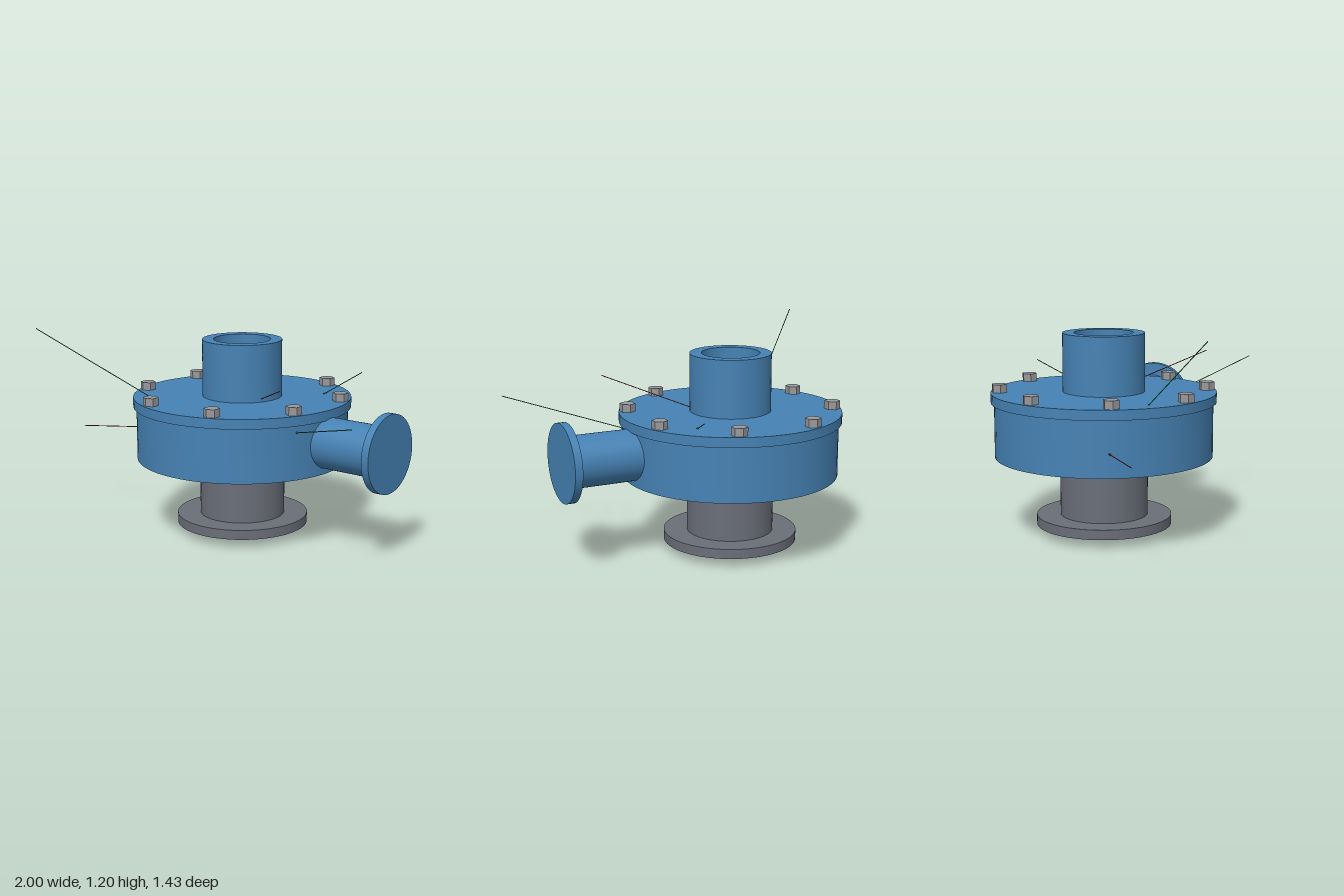
import * as THREE from 'three';
import { toCreasedNormals } from 'three/addons/utils/BufferGeometryUtils.js';

const mat = (name, color) => {
  const m = new THREE.MeshStandardMaterial({ color });
  m.name = name;
  return m;
};

export function createModel() {
  const blue = mat('casing blue', 0x4682b4);
  const grey = mat('bearing grey', 0x6a6e78);
  const silver = mat('shaft silver', 0xd0d0d5);
  const steel = mat('bolt steel', 0x98989c);
  const bronze = mat('impeller bronze', 0xd2aa6c);
  const brown = mat('plate brown', 0x804a2a);
  const green = mat('pointer green', 0x1f8a3a);
  const red = mat('pointer red', 0xa02020);

  const model = new THREE.Group();
  model.name = 'centrifugalPump';
  const pump = new THREE.Group();
  pump.name = 'pump';
  pump.position.set(-0.145, 0, -0.088);
  model.add(pump);

  const add = (parent, name, geometry, material, x = 0, y = 0, z = 0) => {
    const mesh = new THREE.Mesh(geometry, material);
    mesh.name = name;
    mesh.position.set(x, y, z);
    parent.add(mesh);
    return mesh;
  };
  // Turned part from [radius, height] pairs, run bottom to top on the outside
  const turned = (name, profile, material) => add(pump, name, toCreasedNormals(
    new THREE.LatheGeometry(profile.map(([r, y]) => new THREE.Vector2(r, y)), 64), 0.6), material);
  // Upright cylinder between two heights
  const post = (name, r, y0, y1, material, sides = 64) =>
    add(pump, name, new THREE.CylinderGeometry(r, r, y1 - y0, sides), material, 0, (y0 + y1) / 2, 0);

  // Bearing housing and shaft
  post('mountingFlange', 0.378, 0.05, 0.105, grey);
  post('bearingHousing', 0.245, 0.105, 0.44, grey);
  post('shaft', 0.075, 0, 1.03, silver, 48);

  // Hollow casing
  turned('casing', [[0, 0.44], [0.607, 0.44], [0.607, 0.745], [0.54, 0.745], [0.54, 0.49], [0, 0.49]], blue);
  // Cover plate with the suction neck and its open bore
  turned('coverAndSuctionNeck', [[0.163, 0.745], [0.625, 0.745], [0.625, 0.8], [0.228, 0.8],
    [0.228, 1.125], [0.163, 1.125], [0.163, 0.745]], blue);

  // Impeller seen down the bore
  post('impellerPlate', 0.48, 0.51, 0.54, brown);
  post('impellerHub', 0.13, 0.54, 0.7, bronze);
  for (let i = 0; i < 6; i++) {
    const arm = new THREE.Group();
    arm.name = 'impellerVane';
    arm.rotation.y = i * Math.PI / 3;
    add(arm, 'vane', new THREE.BoxGeometry(0.06, 0.14, 0.028), bronze, 0.125, 0.61, 0);
    pump.add(arm);
  }

  // Discharge pipe with a blank end flange
  const pipe = add(pump, 'dischargePipe', new THREE.CylinderGeometry(0.143, 0.143, 0.42, 48), blue, 0.765, 0.61, 0);
  const flange = add(pump, 'dischargeFlange', new THREE.CylinderGeometry(0.218, 0.218, 0.043, 64), blue, 0.9865, 0.61, 0);
  pipe.rotation.z = flange.rotation.z = -Math.PI / 2;

  // Ring of hexagonal cover bolts
  const hex = new THREE.CylinderGeometry(0.044, 0.044, 0.045, 6).toNonIndexed();
  hex.computeVertexNormals();
  for (let i = 0; i < 8; i++) {
    const a = (i + 0.5) * Math.PI / 4;
    add(pump, 'coverBolt', hex, steel, 0.575 * Math.cos(a), 0.8225, 0.575 * Math.sin(a));
  }

  // Thin pointer lines with a small tip where they touch the pump
  const pointers = [
    [[-0.98, 1.2, 0.71], [-0.52, 0.8, 0.285], green],
    [[1, 0.875, 0.485], [0.418, 0.705, 0.143], green],
    [[0.295, 0.895, -0.66], [0.21, 0.8, -0.4], green],
    [[0.455, 0.97, 0.345], [-0.19, 0.72, -0.225], red],
    [[-1, 0.572, 0.345], [-0.71, 0.567, 0.135], red],
  ];
  for (const [from, to, material] of pointers) {
    const a = new THREE.Vector3(...from), b = new THREE.Vector3(...to);
    const line = new THREE.LineCurve3(a, b);
    add(model, 'pointerLine', new THREE.TubeGeometry(line, 1, 0.0025, 6), material);
    add(model, 'pointerTip', new THREE.SphereGeometry(0.006, 10, 8), material, ...to);
  }
  return model;
}
